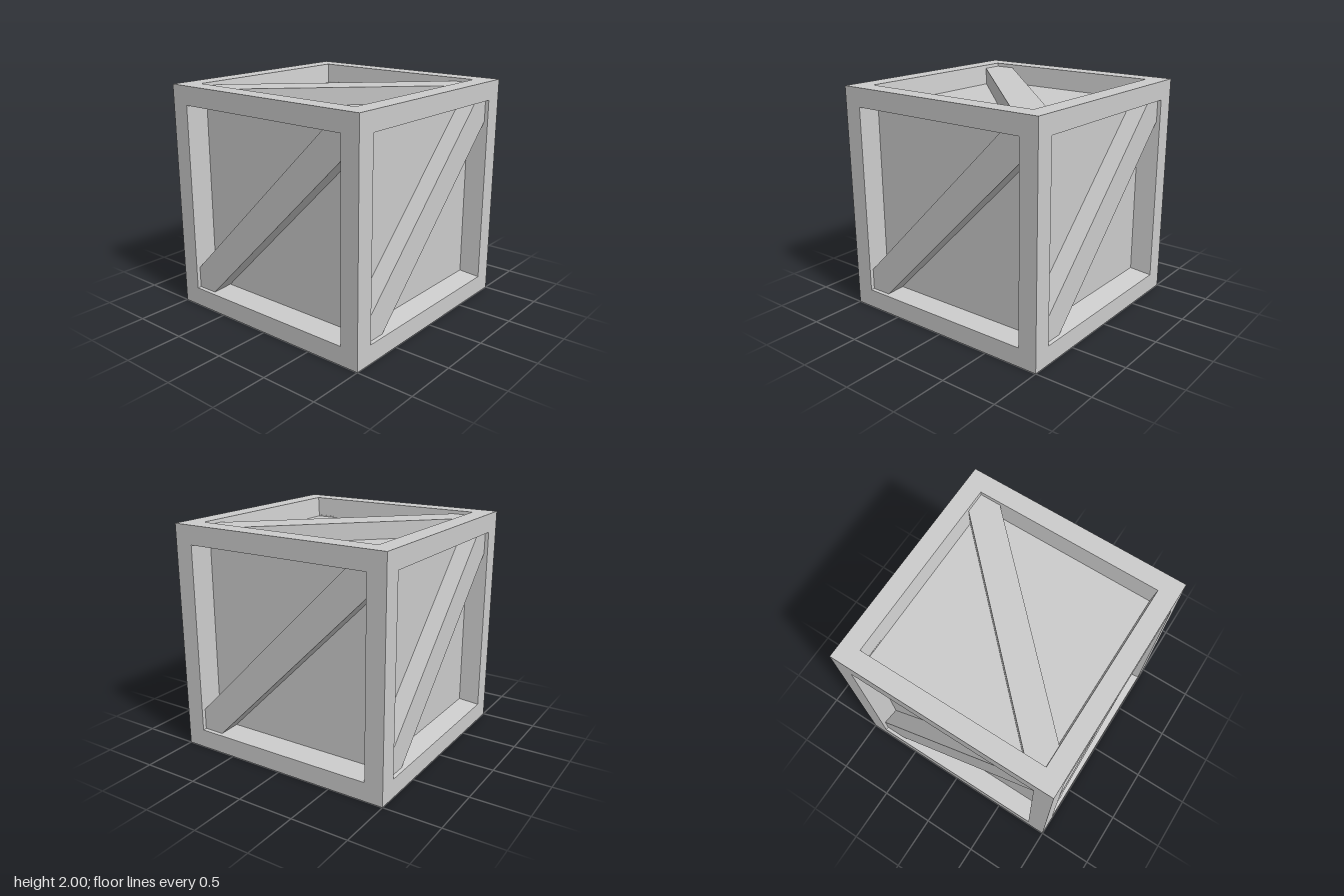
import * as THREE from 'three';

const material = new THREE.MeshStandardMaterial({ color: 0xcccccc, flatShading: true });
const OPENING = 0.835; // half size of the opening at the outer face
const CUT = 0.645;     // where the brace's sides meet the opening

function part(name, geometry) {
  const mesh = new THREE.Mesh(geometry, material);
  mesh.name = name;
  return mesh;
}

// Square rim: flat border, then walls tapering inward to the panel
function rimGeometry(inner, depth) {
  const profile = [[1, 1], [OPENING, 1], [inner, 1 - depth]]
    .map(([half, y]) => new THREE.Vector2(half * Math.SQRT2, y));
  const geometry = new THREE.LatheGeometry(profile, 4, Math.PI / 4).toNonIndexed();
  geometry.computeVertexNormals();
  return geometry.rotateX(Math.PI / 2);
}

// Diagonal plank whose ends fill two corners of the opening
function braceGeometry(bottom, top) {
  const a = OPENING - 0.002;
  const outline = [[-a, -a], [-CUT, -a], [a, CUT], [a, a], [CUT, a], [-a, -CUT]]
    .map(([x, y]) => new THREE.Vector2(x, y));
  return new THREE.ExtrudeGeometry(new THREE.Shape(outline), { depth: top - bottom, bevelEnabled: false })
    .translate(0, 0, bottom);
}

// One side of the crate, built facing +z
function crateFace(name, inner, depth, flip) {
  const face = new THREE.Group();
  face.name = name;
  const panel = part('panel', new THREE.PlaneGeometry(2 * inner, 2 * inner));
  panel.position.z = 1 - depth;
  const brace = part('diagonalBrace', braceGeometry(1 - depth, 0.97));
  if (flip) brace.rotation.z = Math.PI / 2;
  face.add(part('frame', rimGeometry(inner, depth)), panel, brace);
  return face;
}

export function createModel() {
  const crate = new THREE.Group();
  crate.name = 'crate';

  // Four upright sides
  ['front', 'left', 'back', 'right'].forEach((side, i) => {
    const face = i % 2 ? crateFace(side + 'Side', 0.8, 0.19, false)
      : crateFace(side + 'Side', 0.807, 0.18, false);
    face.rotation.y = i * Math.PI / 2;
    crate.add(face);
  });

  // Lid and base, with their braces on the other diagonal
  [['lid', -1], ['base', 1]].forEach(([name, sign]) => {
    const face = crateFace(name, 0.81, 0.18, true);
    face.rotation.x = sign * Math.PI / 2;
    crate.add(face);
  });

  crate.children.forEach((face) => { face.position.y = 1; });
  return crate;
}
